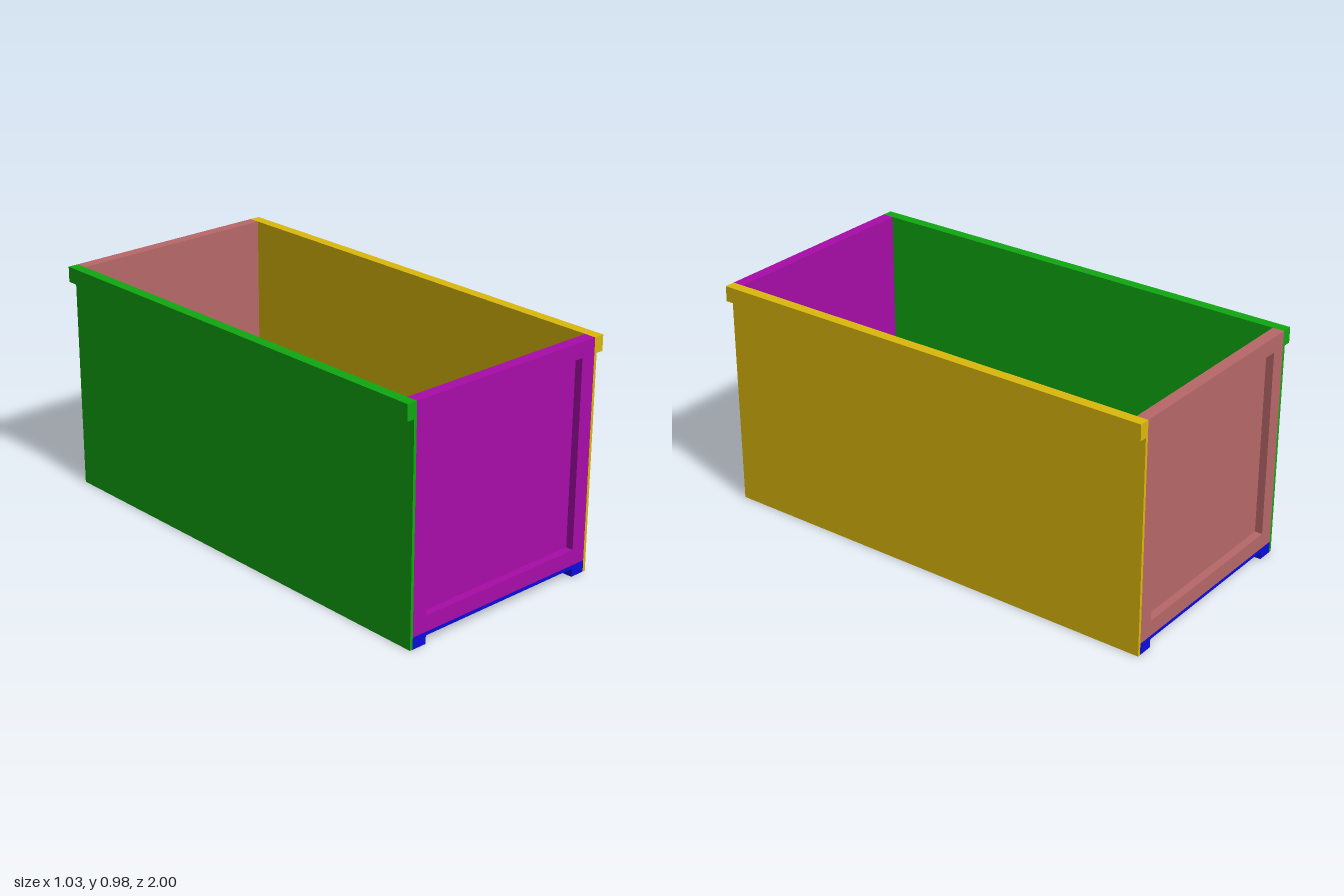
import * as THREE from 'three';

const HALF_W = 0.467, HALF_L = 1, TOP = 0.983, FLOOR = 0.05;
const WALL = 0.05, RECESS = 0.033;

const paint = (color) => new THREE.MeshStandardMaterial({ color, flatShading: true });

function addMesh(parent, name, geometry, material) {
  const mesh = new THREE.Mesh(geometry, material);
  mesh.name = name;
  parent.add(mesh);
  return mesh;
}

// Outline in x/y, extruded along z from z0
function prism(points, z0, depth, hole) {
  const shape = new THREE.Shape(points.map(([x, y]) => new THREE.Vector2(x, y)));
  if (hole) shape.holes.push(new THREE.Path(hole.map(([x, y]) => new THREE.Vector2(x, y))));
  return new THREE.ExtrudeGeometry(shape, { depth, bevelEnabled: false }).translate(0, 0, z0);
}

const rect = (w, y0, y1) => [[-w, y0], [w, y0], [w, y1], [-w, y1]];

// End wall with a recessed outer panel, facing +z
function createEnd(name, color) {
  const end = new THREE.Group();
  end.name = name;
  const material = paint(color);
  const outline = rect(HALF_W, FLOOR, TOP);
  addMesh(end, name + 'Frame',
    prism(outline, HALF_L - RECESS, RECESS, rect(0.4, 0.117, 0.917)), material);
  addMesh(end, name + 'Panel', prism(outline, HALF_L - WALL, WALL - RECESS), material);
  return end;
}

export function createModel() {
  const bin = new THREE.Group();
  bin.name = 'openBin';

  // Floor with a runner along each long edge
  addMesh(bin, 'floor', prism([
    [-HALF_W, 0], [-0.4, 0], [-0.4, 0.035], [0.4, 0.035], [0.4, 0],
    [HALF_W, 0], [HALF_W, FLOOR], [-HALF_W, FLOOR],
  ], -HALF_L, 2 * HALF_L), paint(0x0c0cdc));

  // Thin side walls with an outward rim
  for (const [name, side, color] of [['leftWall', 1, 0xdcb80c], ['rightWall', -1, 0x10a810]]) {
    const profile = [
      [HALF_W, 0], [0.48, 0], [0.48, 0.917], [0.513, 0.917], [0.513, TOP], [HALF_W, TOP],
    ].map(([x, y]) => [side * x, y]);
    addMesh(bin, name, prism(profile, -HALF_L, 2 * HALF_L), paint(color));
  }

  // End walls
  bin.add(createEnd('frontWall', 0xa80ca8));
  const back = createEnd('backWall', 0xb86868);
  back.rotation.y = Math.PI;
  bin.add(back);

  return bin;
}
